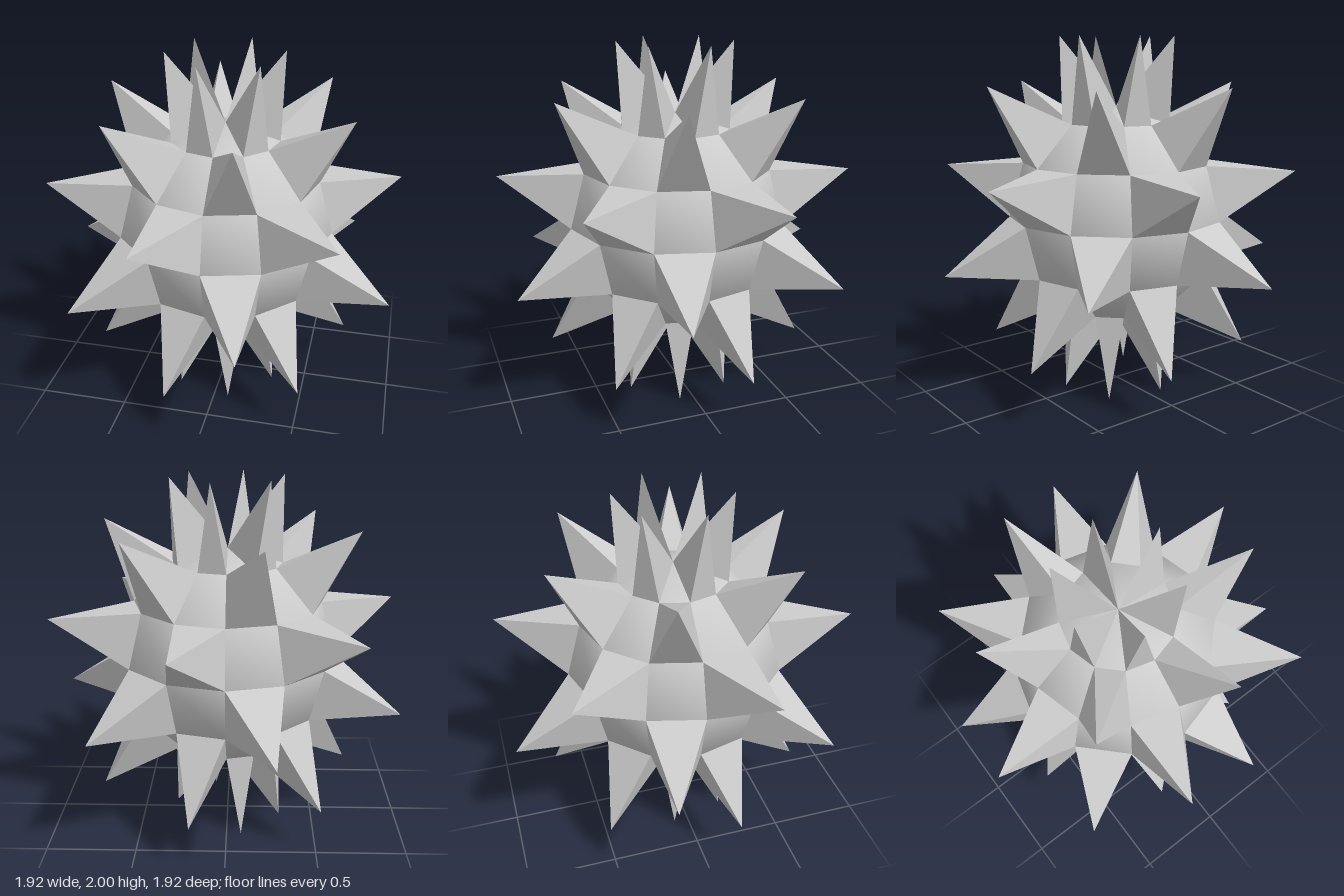
import * as THREE from 'three';

const SEGMENTS = 12, ROWS = 6, RADIUS = 0.609, SPIKE = 0.462;

// Point of the core's grid; column counts from +z towards +x, row from the south pole up
function gridPoint(column, row) {
  const lon = (column / SEGMENTS) * Math.PI * 2;
  const lat = (row / ROWS - 0.5) * Math.PI;
  return new THREE.Vector3(
    Math.sin(lon) * Math.cos(lat), Math.sin(lat), Math.cos(lon) * Math.cos(lat)
  ).multiplyScalar(RADIUS);
}

// Pyramid standing on one cell of the core, three-sided at the poles
function spikeGeometry(column, row) {
  const corners = [gridPoint(column, row)];
  if (row > 0) corners.push(gridPoint(column + 1, row));
  corners.push(gridPoint(column + 1, row + 1));
  if (row < ROWS - 1) corners.push(gridPoint(column, row + 1));

  const [a, b, c] = corners;
  const normal = b.clone().sub(a).cross(c.clone().sub(a)).normalize();
  const tip = new THREE.Vector3();
  corners.forEach((p) => tip.addScaledVector(p, 1 / corners.length));
  tip.addScaledVector(normal, SPIKE);

  const points = corners.flatMap((p, i) => [p, corners[(i + 1) % corners.length], tip]);
  const geometry = new THREE.BufferGeometry().setFromPoints(points);
  geometry.computeVertexNormals();
  return geometry;
}

export function createModel() {
  const model = new THREE.Group();
  model.name = 'spikyBall';
  model.position.y = 1;

  // Smooth-shaded core
  const smooth = new THREE.MeshStandardMaterial({ color: 0xcccccc });
  const core = new THREE.Mesh(new THREE.SphereGeometry(RADIUS, SEGMENTS, ROWS), smooth);
  core.name = 'core';
  model.add(core);

  // Spikes on every other cell, like a checkerboard
  const faceted = new THREE.MeshStandardMaterial({ color: 0xcccccc, flatShading: true });
  const spikes = new THREE.Group();
  spikes.name = 'spikes';
  for (let row = 0; row < ROWS; row++) {
    for (let column = row % 2; column < SEGMENTS; column += 2) {
      const spike = new THREE.Mesh(spikeGeometry(column, row), faceted);
      spike.name = 'spike';
      spikes.add(spike);
    }
  }
  model.add(spikes);

  const root = new THREE.Group();
  root.name = 'model';
  root.add(model);
  return root;
}
